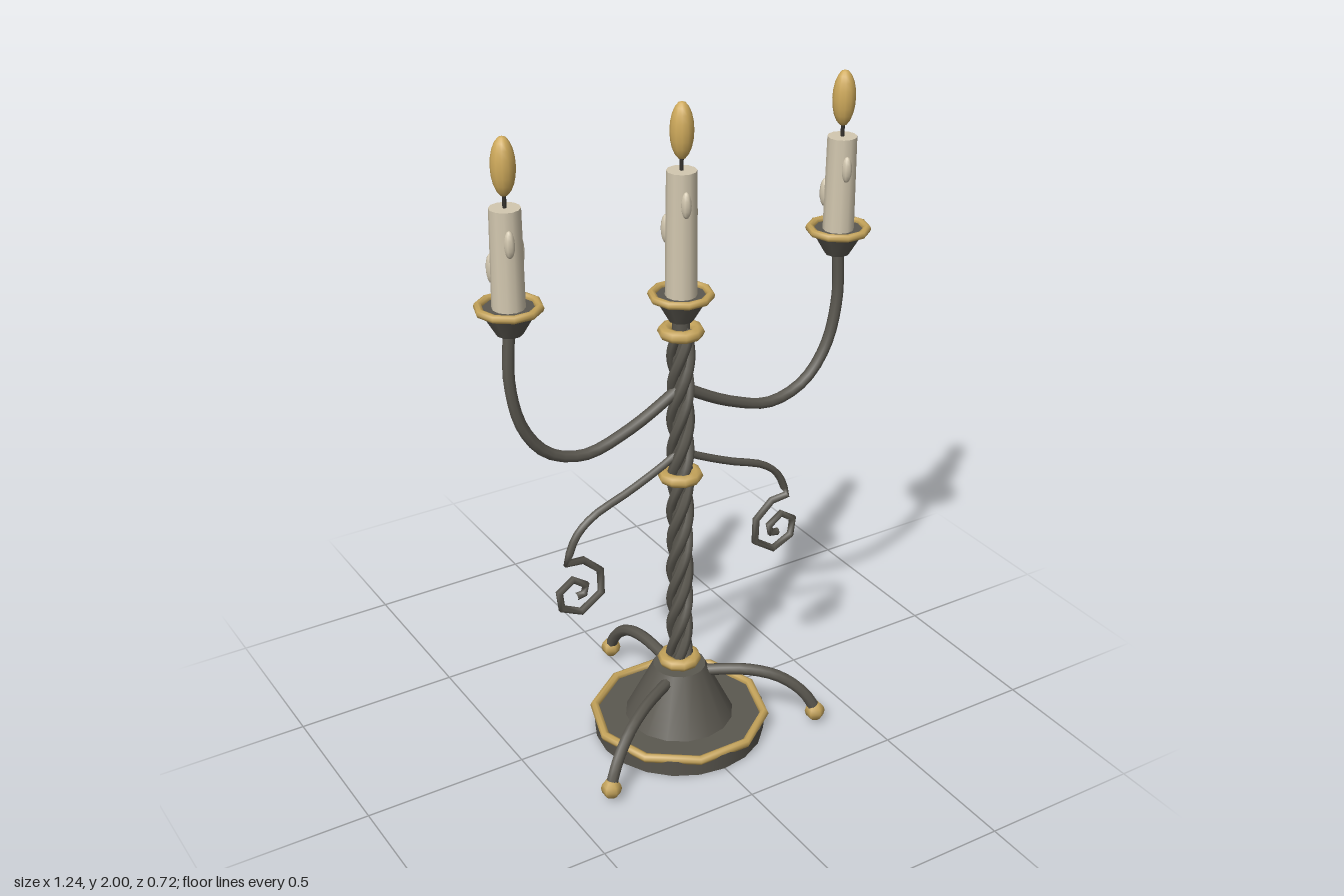
import * as THREE from 'three';

const paint = (name, color) => {
  const m = new THREE.MeshStandardMaterial({ color });
  m.name = name;
  return m;
};

// Straight-segment path that keeps its corners crisp when swept
class Polyline extends THREE.Curve {
  constructor(points) { super(); this.points = points; }
  getUtoTmapping(u) { return u; }
  getPoint(t, target = new THREE.Vector3()) {
    const n = this.points.length - 1;
    const i = Math.min(Math.floor(t * n), n - 1);
    return target.copy(this.points[i]).lerp(this.points[i + 1], t * n - i);
  }
}

const vec = ([x, y]) => new THREE.Vector3(x, y, 0);

export function createModel() {
  const iron = paint('iron', 0x5b5850);
  const gold = paint('gold', 0xc4a35a);
  const wax = paint('wax', 0xd3c8b0);
  const flameColor = paint('flame', 0xd0ab5c);
  const wickColor = paint('wick', 0x35322d);

  const model = new THREE.Group();
  model.name = 'candelabrum';
  const body = new THREE.Group();
  body.name = 'body';
  body.position.z = 0.095;
  model.add(body);

  const add = (parent, name, geometry, material, x = 0, y = 0, z = 0) => {
    const mesh = new THREE.Mesh(geometry, material);
    mesh.name = name;
    mesh.position.set(x, y, z);
    parent.add(mesh);
    return mesh;
  };
  const frustum = (top, bottom, y0, y1, sides) =>
    new THREE.CylinderGeometry(top, bottom, y1 - y0, sides)
      .rotateY(Math.PI / 2).translate(0, (y0 + y1) / 2, 0);
  const ring = (radius, tube, sides, squash = 1) =>
    new THREE.TorusGeometry(radius, tube, 8, sides).rotateX(Math.PI / 2).scale(1, squash, 1);

  // Base plate, trim and cone
  add(body, 'basePlate', frustum(0.265, 0.26, 0, 0.055, 20), iron);
  add(body, 'baseTrim', ring(0.262, 0.014, 10), gold, 0, 0.055);
  add(body, 'baseCone', frustum(0.08, 0.168, 0.05, 0.23, 16), iron);

  // Three curved legs with ball feet
  const legCurve = new THREE.CatmullRomCurve3([
    [0.06, 0.2], [0.13, 0.203], [0.21, 0.2], [0.3, 0.175], [0.37, 0.125], [0.41, 0.07], [0.42, 0.04],
  ].map(vec));
  for (const angle of [90, 210, 330]) {
    const leg = new THREE.Group();
    leg.name = 'leg';
    leg.rotation.y = THREE.MathUtils.degToRad(angle);
    add(leg, 'legTube', new THREE.TubeGeometry(legCurve, 14, 0.018, 8), iron);
    add(leg, 'foot', new THREE.SphereGeometry(0.031, 6, 6), gold, 0.42, 0.042);
    body.add(leg);
  }

  // Twisted stem of four strands around a core
  add(body, 'stemCore', frustum(0.026, 0.026, 0.22, 1.38, 8), iron);
  for (let s = 0; s < 4; s++) {
    const points = [];
    for (let i = 0; i <= 40; i++) {
      const y = 0.23 + (1.12 * i) / 40;
      const a = (y / 0.4) * Math.PI * 2 + (s * Math.PI) / 2;
      points.push(new THREE.Vector3(0.025 * Math.sin(a), y, 0.025 * Math.cos(a)));
    }
    add(body, 'stemStrand', new THREE.TubeGeometry(new THREE.CatmullRomCurve3(points), 80, 0.016, 6), iron);
  }
  for (const y of [0.25, 0.885, 1.34]) add(body, 'collar', ring(0.046, 0.021, 10, 0.85), gold, 0, y);

  // Side arms and hanging scrolls
  const armCurve = new THREE.CatmullRomCurve3([
    [0, 1.17], [0.05, 1.138], [0.17, 1.077], [0.31, 1.038], [0.425, 1.075],
    [0.5, 1.17], [0.535, 1.315], [0.53, 1.48],
  ].map(vec));
  const stalk = new THREE.CatmullRomCurve3([
    [0, 0.965], [0.05, 0.935], [0.17, 0.88], [0.29, 0.833], [0.345, 0.785], [0.38, 0.705],
  ].map(vec)).getPoints(14);
  const curl = [
    [0.325, 0.7], [0.27, 0.65], [0.268, 0.575], [0.335, 0.53], [0.398, 0.56],
    [0.405, 0.615], [0.36, 0.645], [0.318, 0.615], [0.325, 0.588], [0.35, 0.585],
  ].map(vec);
  const scrollPath = new Polyline([...stalk, ...curl]);
  for (const angle of [0, Math.PI]) {
    const side = new THREE.Group();
    side.name = angle ? 'rightSide' : 'leftSide';
    side.rotation.y = angle;
    add(side, 'arm', new THREE.TubeGeometry(armCurve, 24, 0.017, 8), iron);
    add(side, 'scroll', new THREE.TubeGeometry(scrollPath, scrollPath.points.length - 1, 0.0115, 6), iron);
    body.add(side);
  }

  // Cup, candle, wax drips, wick and flame
  const candleTop = 1.81;
  const addCandle = (name, x, rim) => {
    const holder = new THREE.Group();
    holder.name = name;
    holder.position.x = x;
    add(holder, 'cup', frustum(0.08, 0.036, rim - 0.075, rim, 10), iron);
    add(holder, 'cupRim', ring(0.082, 0.012, 10), gold, 0, rim);
    add(holder, 'candle', frustum(0.042, 0.045, rim - 0.005, candleTop, 12), wax);
    [[105, 1.725, 0.038], [-14, 1.68, 0.05], [226, 1.64, 0.042]].forEach(([deg, y, h]) => {
      const a = THREE.MathUtils.degToRad(deg);
      add(holder, 'waxDrip', new THREE.SphereGeometry(1, 8, 8).scale(0.015, h, 0.015), wax,
        0.043 * Math.cos(a), y, 0.043 * Math.sin(a));
    });
    add(holder, 'wick', frustum(0.006, 0.006, candleTop - 0.01, 1.86, 6), wickColor);
    add(holder, 'flame', new THREE.SphereGeometry(1, 12, 10).scale(0.033, 0.08, 0.033), flameColor, 0, 1.92);
    body.add(holder);
  };
  addCandle('centerCandle', 0, 1.45);
  addCandle('leftCandle', 0.528, 1.535);
  addCandle('rightCandle', -0.528, 1.535);

  return model;
}
